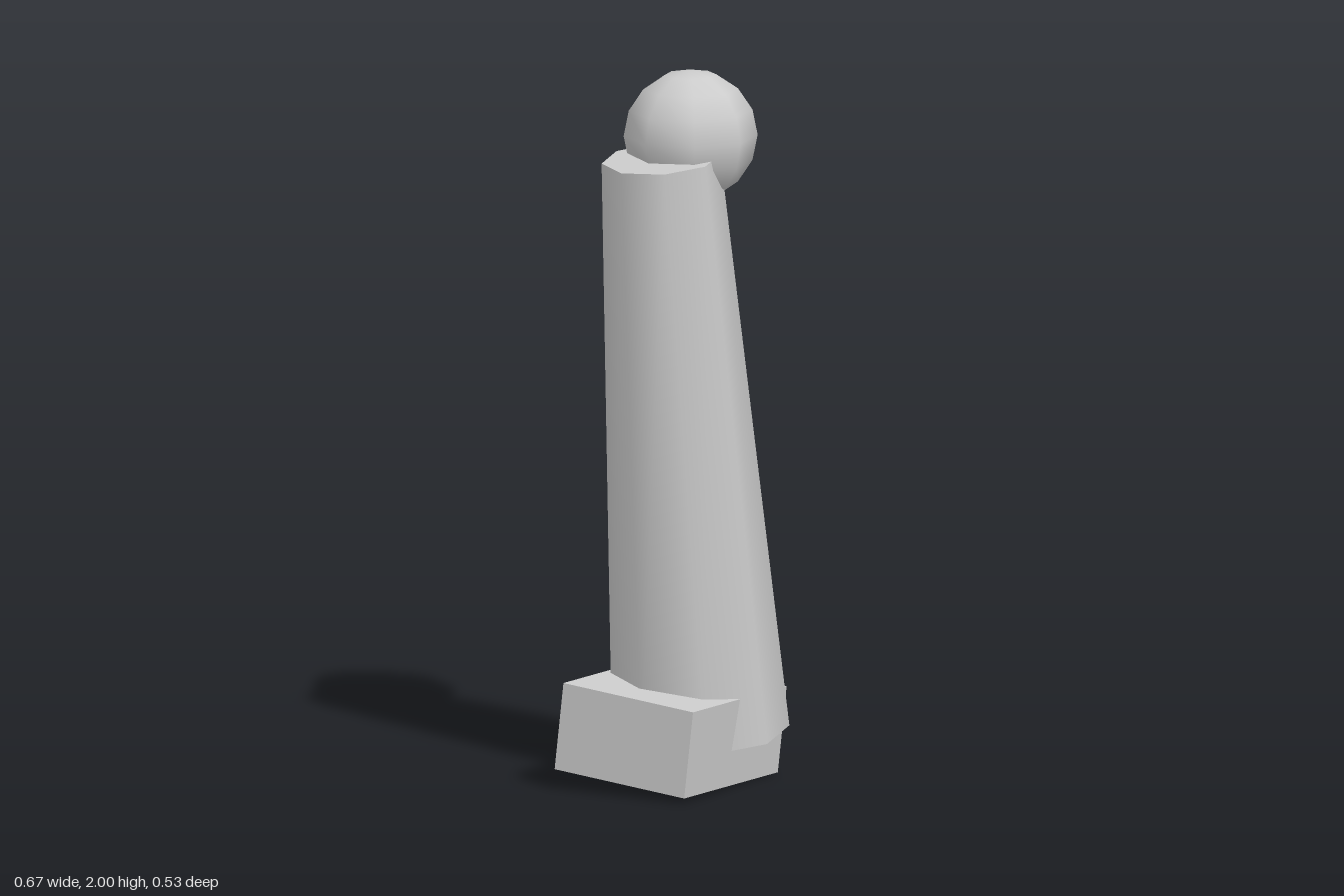
import * as THREE from 'three';

export function createModel() {
  const model = new THREE.Group();
  const material = new THREE.MeshStandardMaterial({ color: 0xcccccc });

  function addPart(name, geometry, position, rotation = [0, 0, 0]) {
    const mesh = new THREE.Mesh(geometry, material);
    mesh.name = name;
    mesh.position.set(...position);
    mesh.rotation.set(...rotation);
    model.add(mesh);
  }

  // Skewed block at the foot
  addPart('footBlock', new THREE.BoxGeometry(0.517, 0.246, 0.418), [-0.036, 0.152, 0], [0.1, 0.2, -0.05]);

  // Leaning, tapered eight-sided column
  addPart('column', new THREE.CylinderGeometry(0.165, 0.247, 1.654, 8), [0.006, 0.943, 0], [0, 0, 0.1]);

  // Ball resting off-centre on the column
  addPart('ball', new THREE.SphereGeometry(0.186, 8, 8), [0.047, 1.814, 0]);

  return model;
}
